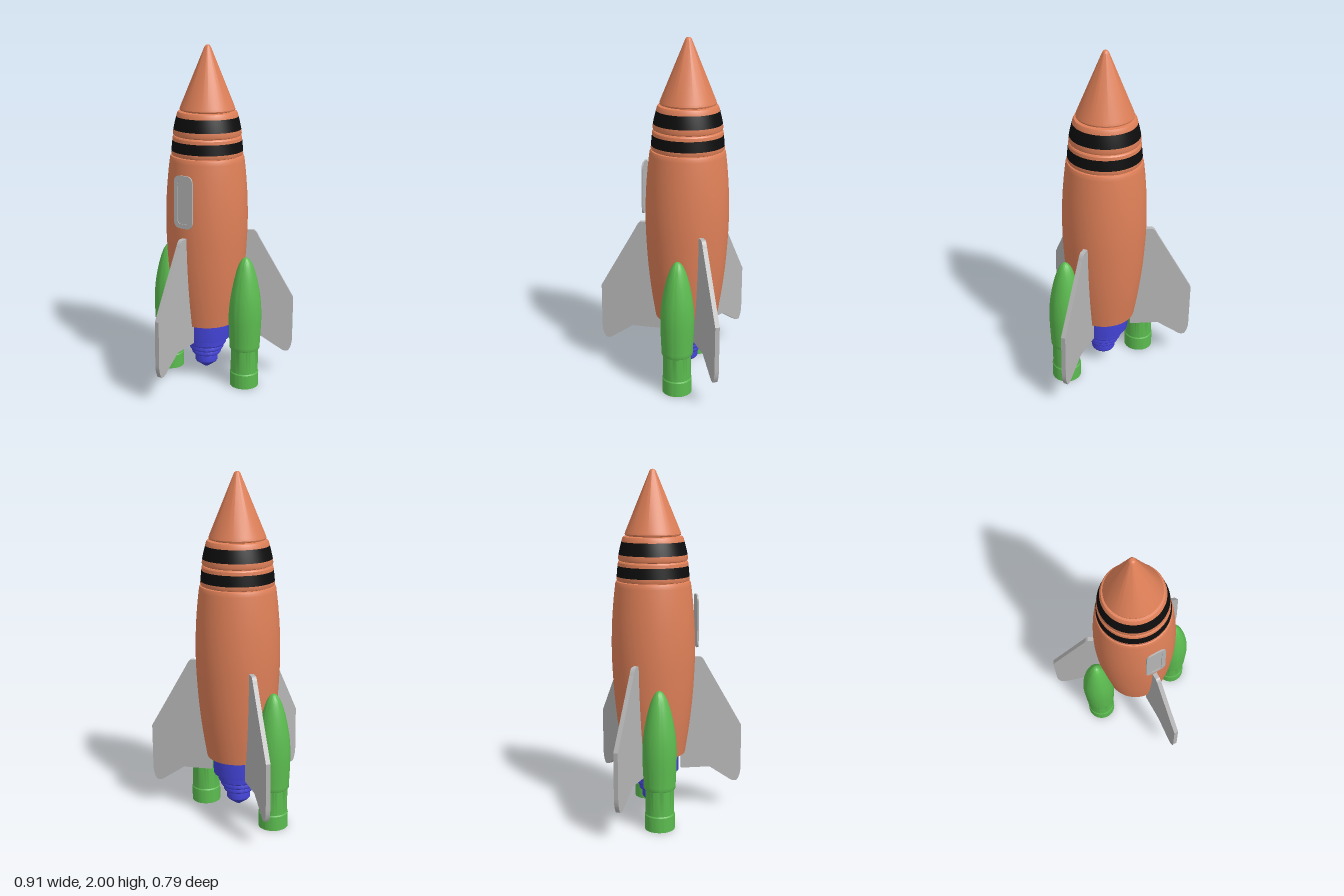
import * as THREE from 'three';
import { toCreasedNormals } from 'three/addons/utils/BufferGeometryUtils.js';

const material = (name, color) => {
  const m = new THREE.MeshStandardMaterial({ color });
  m.name = name;
  return m;
};

export function createModel() {
  const orange = material('orange', 0xdf8058);
  const black = material('black', 0x0d0d0d);
  const green = material('green', 0x5cbc50);
  const blue = material('blue', 0x4343d6);
  const grey = material('grey', 0xb6b6b6);

  const model = new THREE.Group();
  model.name = 'rocket';
  // Everything but the centring is laid out around the rocket's own axis
  const rocket = new THREE.Group();
  rocket.name = 'rocketAssembly';
  rocket.position.z = -0.124;
  model.add(rocket);

  const add = (name, geometry, mat, parent = rocket) => {
    const mesh = new THREE.Mesh(geometry, mat);
    mesh.name = name;
    parent.add(mesh);
    return mesh;
  };
  // Turned part from [radius, y] pairs, listed bottom to top
  const turned = (points) => toCreasedNormals(
    new THREE.LatheGeometry(points.map(([r, y]) => new THREE.Vector2(r, y)), 64), 0.5);

  // Hull: a smooth barrel with a rounded shoulder
  const barrel = new THREE.SplineCurve([
    [0.182, 0.37], [0.207, 0.53], [0.226, 0.7], [0.237, 0.87],
    [0.24, 1.0], [0.236, 1.14], [0.226, 1.27], [0.215, 1.365],
  ].map(([r, y]) => new THREE.Vector2(r, y))).getPoints(28).map((p) => [p.x, p.y]);
  add('hull', turned([[0, 0.37], ...barrel, [0.21, 1.377], [0.198, 1.38]]), orange);

  // Stepped collars with black bands
  add('lowerCollarBase', turned([[0.196, 1.378], [0.205, 1.382], [0.208, 1.39], [0.207, 1.405]]), orange);
  add('lowerBand', turned([[0.207, 1.405], [0.204, 1.435], [0.201, 1.465]]), black);
  add('lowerCollarTop', turned([[0.201, 1.465], [0.199, 1.483], [0.194, 1.49], [0.186, 1.492]]), orange);
  add('upperCollarBase', turned([[0.186, 1.492], [0.195, 1.496], [0.198, 1.505], [0.195, 1.528]]), orange);
  add('upperBand', turned([[0.195, 1.528], [0.187, 1.565], [0.178, 1.6]]), black);
  add('upperCollarTop', turned([[0.178, 1.6], [0.174, 1.617], [0.168, 1.628], [0.145, 1.632]]), orange);

  // Nose cone with a blunt rounded tip
  add('noseCone', turned([
    [0.145, 1.632], [0.157, 1.636], [0.159, 1.643], [0.155, 1.656],
    [0.021, 1.982], [0.016, 1.993], [0.009, 1.999], [0, 2],
  ]), orange);

  // Main engine: stepped nozzle ending in a point
  add('engine', turned([
    [0, 0.05], [0.012, 0.053], [0.062, 0.09], [0.069, 0.1], [0.069, 0.135], [0.066, 0.145],
    [0.084, 0.147], [0.088, 0.153], [0.088, 0.17], [0.084, 0.178],
    [0.1, 0.18], [0.104, 0.186], [0.104, 0.202], [0.1, 0.21],
    [0.114, 0.212], [0.119, 0.219], [0.119, 0.25], [0.119, 0.26],
    [0.145, 0.26], [0.146, 0.27], [0.146, 0.372],
  ]), blue);

  // Side boosters with hollow exhaust tubes
  const pod = new THREE.SplineCurve([
    [0.09, 0.262], [0.095, 0.37], [0.096, 0.46], [0.088, 0.56],
    [0.067, 0.67], [0.042, 0.75], [0.021, 0.787],
  ].map(([r, y]) => new THREE.Vector2(r, y))).getPoints(24).map((p) => [p.x, p.y]);
  const booster = turned([
    [0, 0.16], [0.072, 0.16], [0.072, 0], [0.085, 0], [0.085, 0.085], [0.081, 0.092],
    [0.081, 0.235], [0.087, 0.237], [0.09, 0.243], ...pod, [0.011, 0.795], [0, 0.798],
  ]);
  for (const side of [1, -1]) {
    add(side > 0 ? 'leftBooster' : 'rightBooster', booster, green).position.x = side * 0.268;
  }

  // Three fins: outline in radius and height
  const outline = new THREE.Shape();
  outline.moveTo(0.16, 0.26);
  outline.lineTo(0.33, 0.26);
  outline.lineTo(0.455, 0.175);
  outline.quadraticCurveTo(0.475, 0.16, 0.498, 0.168);
  outline.quadraticCurveTo(0.52, 0.2, 0.52, 0.25);
  outline.lineTo(0.52, 0.51);
  outline.lineTo(0.305, 0.89);
  outline.quadraticCurveTo(0.29, 0.925, 0.275, 0.928);
  outline.lineTo(0.2, 0.928);
  outline.lineTo(0.16, 0.5);
  const fin = new THREE.ExtrudeGeometry(outline, { depth: 0.026, bevelEnabled: false, curveSegments: 8 });
  fin.translate(0, 0, -0.013);
  [['frontFin', -Math.PI / 2], ['leftFin', Math.PI / 6], ['rightFin', Math.PI * 5 / 6]]
    .forEach(([name, angle]) => { add(name, fin, grey).rotation.y = angle; });

  // Window: rounded frame around a recessed pane
  const rounded = (Outline, w, h, r) => {
    const s = new Outline();
    s.moveTo(-w + r, -h);
    s.lineTo(w - r, -h);
    s.quadraticCurveTo(w, -h, w, -h + r);
    s.lineTo(w, h - r);
    s.quadraticCurveTo(w, h, w - r, h);
    s.lineTo(-w + r, h);
    s.quadraticCurveTo(-w, h, -w, h - r);
    s.lineTo(-w, -h + r);
    s.quadraticCurveTo(-w, -h, -w + r, -h);
    return s;
  };
  const plate = (shape, depth) => new THREE.ExtrudeGeometry(shape, { depth, bevelEnabled: false, curveSegments: 8 });
  const windowGroup = new THREE.Group();
  windowGroup.name = 'window';
  windowGroup.position.set(0, 1.142, 0.245);
  rocket.add(windowGroup);
  const frame = rounded(THREE.Shape, 0.061, 0.153, 0.042);
  frame.holes.push(rounded(THREE.Path, 0.037, 0.127, 0.025));
  add('windowFrame', plate(frame, 0.009), grey, windowGroup);
  add('windowPane', plate(rounded(THREE.Shape, 0.038, 0.128, 0.025), 0.005), grey, windowGroup);

  return model;
}
